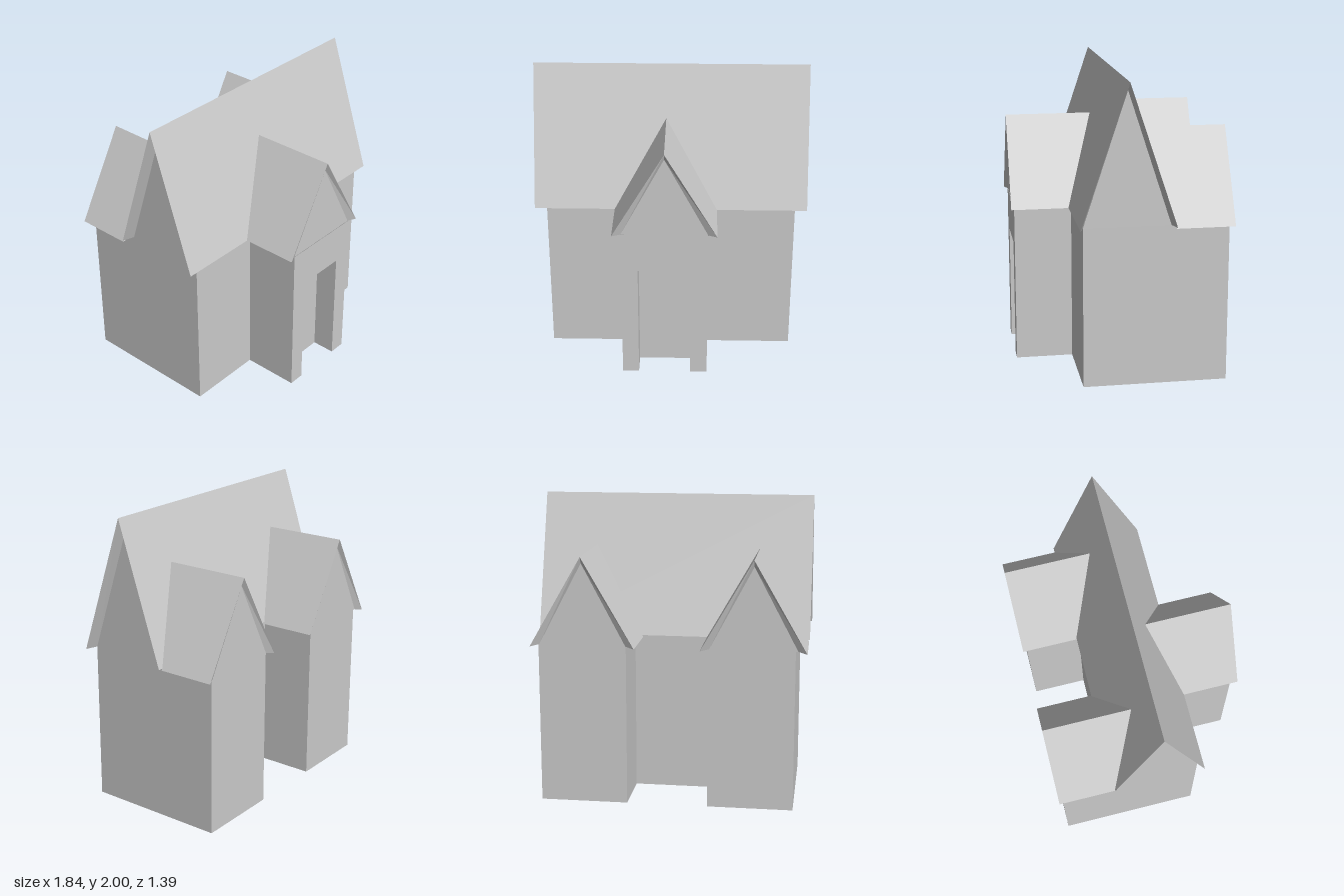
import * as THREE from 'three';

const material = new THREE.MeshStandardMaterial({
  color: 0xcccccc, flatShading: true, side: THREE.DoubleSide,
});

// One mesh from flat polygons, each a list of [x, y, z] corners, counter-clockwise from outside
function surface(name, polygons) {
  const positions = [];
  for (const p of polygons)
    for (let i = 1; i < p.length - 1; i++) positions.push(...p[0], ...p[i], ...p[i + 1]);
  const geometry = new THREE.BufferGeometry();
  geometry.setAttribute('position', new THREE.Float32BufferAttribute(positions, 3));
  geometry.computeVertexNormals();
  const mesh = new THREE.Mesh(geometry, material);
  mesh.name = name;
  return mesh;
}

// Vertical wall between two plan points [x, z]
const wall = ([x0, z0], [x1, z1], y0, y1) =>
  [[x0, y0, z0], [x1, y0, z1], [x1, y1, z1], [x0, y1, z0]];

const WALL_TOP = 1.07;

// Gabled roof with its ridge along local z. Each end gives the z of the eave and ridge;
// an end with a gable also gives the z of its triangular wall.
function gabledRoof(name, { half, eave, ridge, innerHalf, innerRidge, front, back }) {
  const group = new THREE.Group();
  group.name = name;
  const outline = (end) => [[half, eave, end.eave], [0, ridge, end.ridge], [-half, eave, end.eave]];
  const inner = (z) => [[innerHalf, WALL_TOP, z], [0, innerRidge, z], [-innerHalf, WALL_TOP, z]];
  const [fr, ft, fl] = outline(front);
  const [br, bt, bl] = outline(back);
  group.add(surface('roofSlopes', [[fr, br, bt, ft], [bl, fl, ft, bt]]));

  // Underside of the eaves, running back to the wall heads
  const [ifr, , ifl] = inner(front.gable);
  const [ibr, , ibl] = inner(back.gable ?? back.eave);
  const soffits = [[fr, ifr, ibr, br], [fl, bl, ibl, ifl]];

  // Gable walls, and the verges that splay out from them to the roof edge
  for (const [end, flip] of [[front, false], [back, true]]) {
    if (end.gable === undefined) continue;
    const o = outline(end), g = inner(end.gable);
    group.add(surface('gableWall', [flip ? [...g].reverse() : g]));
    for (let i = 0; i < 2; i++) {
      const verge = [o[i], o[i + 1], g[i + 1], g[i]];
      soffits.push(flip ? verge.reverse() : verge);
    }
  }
  group.add(surface('eaveUndersides', soffits));
  return group;
}

export function createModel() {
  const house = new THREE.Group();
  house.name = 'house';

  // Wall outline from the right porch jamb round the house to the left porch jamb
  const frontZ = 0.67, doorBackZ = 0.51, doorL = -0.21, doorR = 0.14, doorTop = 0.8;
  const plan = [
    [doorR, frontZ], [0.255, frontZ], [0.255, 0.285], [0.84, 0.285],
    [0.84, -0.665], [0.26, -0.665], [0.26, -0.285], [-0.275, -0.285],
    [-0.275, -0.665], [-0.84, -0.665], [-0.84, 0.285], [-0.32, 0.285],
    [-0.32, frontZ], [doorL, frontZ],
  ];
  const walls = [];
  for (let i = 0; i < plan.length - 1; i++) walls.push(wall(plan[i], plan[i + 1], 0, WALL_TOP));
  walls.push(wall([doorL, frontZ], [doorR, frontZ], doorTop, WALL_TOP));
  house.add(surface('walls', walls));

  // Recessed doorway: jambs, door and ceiling
  house.add(surface('doorway', [
    wall([doorL, frontZ], [doorL, doorBackZ], 0, doorTop),
    wall([doorL, doorBackZ], [doorR, doorBackZ], 0, doorTop),
    wall([doorR, doorBackZ], [doorR, frontZ], 0, doorTop),
    [[doorL, doorTop, doorBackZ], [doorR, doorTop, doorBackZ],
      [doorR, doorTop, frontZ], [doorL, doorTop, frontZ]],
  ]));

  // Main roof, ridge along x
  const mainRoof = gabledRoof('mainRoof', {
    half: 0.31, eave: 1.07, ridge: 2, innerHalf: 0.285, innerRidge: 1.94,
    front: { eave: 0.92, ridge: 0.92, gable: 0.84 },
    back: { eave: -0.92, ridge: -0.92, gable: -0.84 },
  });
  mainRoof.rotation.y = Math.PI / 2;
  house.add(mainRoof);

  // Cross roofs over the porch and the two rear wings, dying into the main slope
  const crossRoofs = [
    ['porchRoof', -0.033, 0, 1.07],
    ['rearLeftRoof', 0.548, Math.PI, 1.058],
    ['rearRightRoof', -0.57, Math.PI, 1.058],
  ];
  for (const [name, x, turn, eave] of crossRoofs) {
    const roof = gabledRoof(name, {
      half: 0.345, eave, ridge: 1.655, innerHalf: 0.286, innerRidge: 1.61,
      front: { eave: 0.693, ridge: 0.693, gable: 0.667 },
      back: { eave: 0.31, ridge: 0.115 },
    });
    roof.position.x = x;
    roof.rotation.y = turn;
    house.add(roof);
  }
  return house;
}
